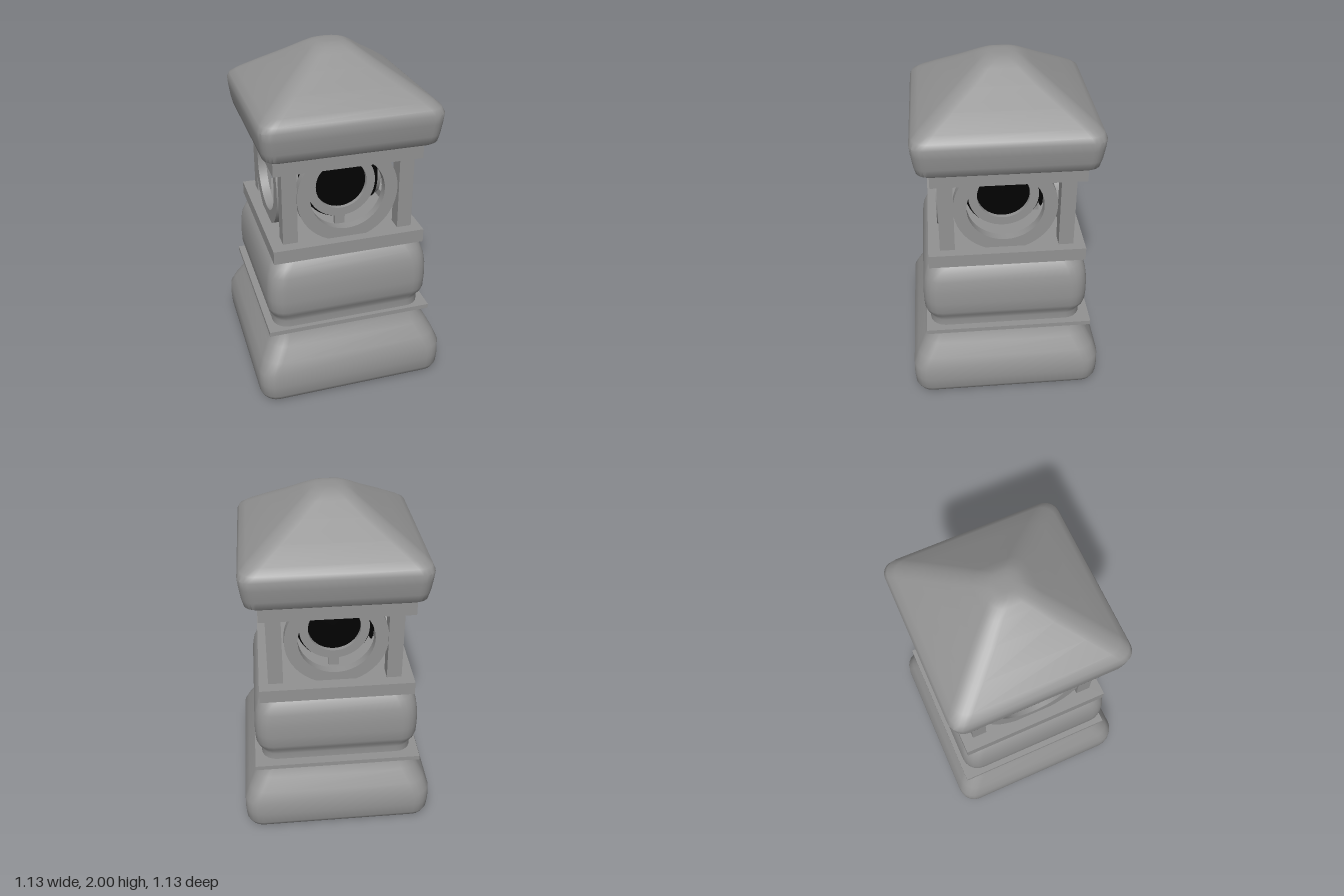
import * as THREE from 'three';
import { toCreasedNormals } from 'three/addons/utils/BufferGeometryUtils.js';

const stone = new THREE.MeshStandardMaterial({ color: 0x929292 });
const dark = new THREE.MeshStandardMaterial({ color: 0x020202, side: THREE.DoubleSide });

function add(parent, name, geometry, x = 0, y = 0, z = 0, material = stone) {
  const mesh = new THREE.Mesh(geometry, material);
  mesh.name = name;
  mesh.position.set(x, y, z);
  parent.add(mesh);
}

// Outline of a square with rounded corners, counter-clockwise seen from above
function roundedSquare(half, radius, steps = 5) {
  const points = [];
  for (let c = 0; c < 4; c++) {
    for (let i = 0; i <= steps; i++) {
      const a = (c + i / steps) * Math.PI / 2;
      const m = (c + 0.5) * Math.PI / 2;
      const k = (half - radius) * Math.SQRT2;
      points.push([Math.cos(m) * k + Math.cos(a) * radius, Math.sin(m) * k + Math.sin(a) * radius]);
    }
  }
  return points;
}

// Stack of rounded squares [y, half width, corner radius], closed at both ends
function stack(sections) {
  const positions = [], index = [];
  let n = 0;
  for (const [y, half, radius] of sections) {
    const ring = roundedSquare(half, radius);
    n = ring.length;
    for (const [x, s] of ring) positions.push(x, y, -s);
  }
  for (let j = 0; j < sections.length - 1; j++) {
    for (let i = 0; i < n; i++) {
      const a = j * n + i, b = j * n + (i + 1) % n;
      index.push(a, b, b + n, a, b + n, a + n);
    }
  }
  const top = sections.length - 1;
  const bottomCentre = positions.length / 3;
  positions.push(0, sections[0][0], 0, 0, sections[top][0], 0);
  for (let i = 0; i < n; i++) {
    const k = (i + 1) % n;
    index.push(bottomCentre, k, i, bottomCentre + 1, top * n + i, top * n + k);
  }
  const geometry = new THREE.BufferGeometry();
  geometry.setAttribute('position', new THREE.Float32BufferAttribute(positions, 3));
  geometry.setIndex(index);
  return toCreasedNormals(geometry, 0.75);
}

// Flat ring with depth, centred on z = 0
function band(outer, inner, depth) {
  const shape = new THREE.Shape().absarc(0, 0, outer, 0, Math.PI * 2, false);
  shape.holes.push(new THREE.Path().absarc(0, 0, inner, 0, Math.PI * 2, true));
  const geometry = new THREE.ExtrudeGeometry(shape, { depth, bevelEnabled: false, curveSegments: 24 });
  geometry.translate(0, 0, -depth / 2);
  return toCreasedNormals(geometry, 0.6);
}

export function createModel() {
  const model = new THREE.Group();
  model.name = 'stoneLantern';

  // Swelling pedestal and its upper block
  add(model, 'base', stack([
    [0.005, 0.46, 0.08], [0.005, 0.52, 0.08], [0.02, 0.547, 0.09], [0.05, 0.561, 0.1], [0.12, 0.565, 0.1],
    [0.2, 0.562, 0.1], [0.27, 0.533, 0.1], [0.35, 0.49, 0.1], [0.41, 0.458, 0.09], [0.45, 0.45, 0.09],
  ]));
  add(model, 'waistPlate', new THREE.BoxGeometry(0.975, 0.027, 0.975), 0, 0.447, -0.015);
  add(model, 'body', stack([
    [0.45, 0.447, 0.09], [0.5, 0.445, 0.09], [0.525, 0.45, 0.09], [0.55, 0.466, 0.09], [0.58, 0.477, 0.1],
    [0.65, 0.48, 0.1], [0.73, 0.478, 0.1], [0.8, 0.468, 0.1], [0.85, 0.45, 0.1], [0.89, 0.423, 0.1], [0.91, 0.4, 0.1],
  ]));

  // Slabs below and above the light chamber
  add(model, 'lowerSlab', new THREE.BoxGeometry(0.88, 0.08, 0.89), 0, 0.933, -0.008);
  add(model, 'upperSlab', new THREE.BoxGeometry(0.845, 0.1, 0.845), 0, 1.463, -0.015);

  // Corner posts
  for (const x of [-1, 1]) {
    for (const z of [-1, 1]) {
      add(model, 'cornerPost', new THREE.BoxGeometry(0.085, 0.48, 0.085), x * 0.337 + 0.008, 1.19, z * 0.337 - 0.008);
    }
  }

  // A round window on each side: outer ring, and a dark lamp plate set further in
  for (let i = 0; i < 4; i++) {
    const window = new THREE.Group();
    window.name = 'roundWindow';
    window.rotation.y = i * Math.PI / 2;
    add(window, 'outerRing', band(0.29, 0.215, 0.05), 0, 1.24, 0.355);
    add(window, 'lampRim', band(0.2, 0.15, 0.026), 0, 1.24, 0.246);
    add(window, 'lampPlate', new THREE.CircleGeometry(0.214, 40), 0, 1.24, 0.232, dark);
    if (i % 2 === 0) add(window, 'lampFoot', new THREE.BoxGeometry(0.06, 0.09, 0.028), 0, 1.01, 0.22);
    model.add(window);
  }

  // Hipped roof with soft eaves
  add(model, 'roof', stack([
    [1.512, 0.465, 0.06], [1.525, 0.482, 0.065], [1.57, 0.493, 0.07], [1.64, 0.503, 0.075], [1.69, 0.507, 0.075],
    [1.72, 0.494, 0.08], [1.75, 0.458, 0.08], [1.82, 0.356, 0.08], [1.9, 0.235, 0.08],
    [1.96, 0.147, 0.07], [1.985, 0.108, 0.07], [1.997, 0.075, 0.06], [2, 0.04, 0.04],
  ]), 0.008, 0, -0.008);
  return model;
}
